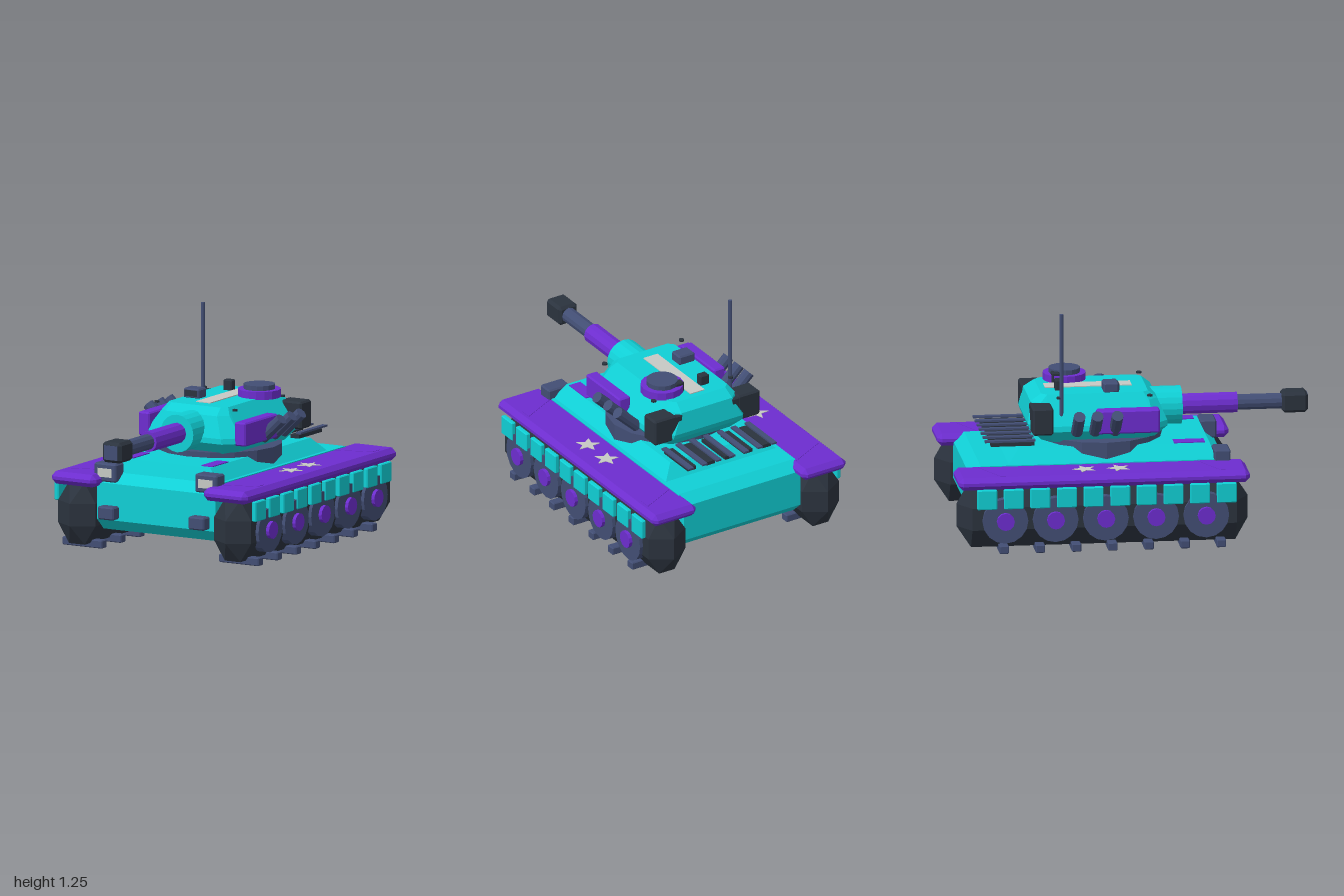
import * as THREE from 'three';
import { ConvexGeometry } from 'three/addons/geometries/ConvexGeometry.js';

const mat = (name, color) => Object.assign(new THREE.MeshStandardMaterial({ color, flatShading: true }), { name });

export function createModel() {
  const root = new THREE.Group();
  root.name = 'tank';
  const teal = mat('teal armour', 0x10cfd5);
  const purple = mat('purple trim', 0x6d2dcf);
  const navy = mat('navy steel', 0x424e74);
  const dark = mat('dark rubber', 0x2b333e);
  const pale = mat('pale paint', 0xc6c9c4);

  const add = (name, geo, material, x = 0, y = 0, z = 0) => {
    const m = new THREE.Mesh(geo, material);
    m.name = name;
    m.position.set(x, y, z);
    root.add(m);
    return m;
  };
  const hull = (pts) => new ConvexGeometry(pts.map((p) => new THREE.Vector3(...p)));
  // box given by its extents, with chamfered edges
  const block = (name, material, [x0, x1], [y0, y1], [z0, z1], b = 0.008) => {
    const w = Math.abs(x1 - x0) / 2, h = (y1 - y0) / 2, d = (z1 - z0) / 2, pts = [];
    for (const i of [-1, 1]) for (const j of [-1, 1]) for (const k of [-1, 1]) {
      pts.push([i * w, j * (h - b), k * (d - b)], [i * (w - b), j * h, k * (d - b)], [i * (w - b), j * (h - b), k * d]);
    }
    return add(name, hull(pts), material, (x0 + x1) / 2, (y0 + y1) / 2, (z0 + z1) / 2);
  };
  const plate = (name, material, w, h, d, x, y, z) => add(name, new THREE.BoxGeometry(w, h, d), material, x, y, z);
  const tube = (name, material, r, length, sides, x, y, z, axis = 'y') => {
    const g = new THREE.CylinderGeometry(r, r, length, sides);
    if (axis === 'x') g.rotateZ(Math.PI / 2);
    if (axis === 'z') g.rotateX(Math.PI / 2);
    return add(name, g, material, x, y, z);
  };
  // flat painted shape lying on a horizontal surface; points are [x, z]
  const decal = (name, material, pts, x, y, z) => {
    const s = new THREE.Shape(pts.map(([px, pz]) => new THREE.Vector2(px, -pz)));
    const g = new THREE.ExtrudeGeometry(s, { depth: 0.004, bevelEnabled: false }).rotateX(-Math.PI / 2);
    return add(name, g, material, x, y, z);
  };

  // lower hull, a side profile drawn across the width
  const lower = [[-0.84, 0.115], [-0.91, 0.18], [-0.91, 0.39], [-0.85, 0.44], [0.45, 0.44], [0.52, 0.385], [0.52, 0.18], [0.45, 0.115]];
  add('lowerHull', hull([-0.38, 0.38].flatMap((x) => lower.map(([z, y]) => [x, y, z]))), teal);

  // sloped upper hull
  add('upperHull', hull([-1, 1].flatMap((s) => [
    [s * 0.375, 0.42, -0.71], [s * 0.375, 0.42, 0.46], [s * 0.29, 0.513, -0.63], [s * 0.29, 0.513, 0.425],
  ])), teal);

  // running gear and fenders
  const star = Array.from({ length: 10 }, (_, i) => {
    const a = (i * Math.PI) / 5, r = i % 2 ? 0.03 : 0.07;
    return [Math.sin(a) * r, -Math.cos(a) * r];
  });
  const trackPts = [];
  for (const k of [-1, 1]) {
    for (const y of [0.14, 0.265]) trackPts.push([0, y, k * 0.805], [0.12, y, k * 0.73], [-0.12, y, k * 0.73]);
    for (const y of [0.03, 0.375]) trackPts.push([0.05, y, k * 0.73], [-0.05, y, k * 0.73]);
  }
  for (const s of [-1, 1]) {
    add('track', hull(trackPts), dark, s * 0.5, 0, -0.195);
    for (let i = 0; i < 7; i++) {
      const z = 0.45 - i * 0.2;
      block('trackCleat', navy, [s * 0.375, s * 0.63], [0.005, 0.05], [z - 0.026, z + 0.026], 0.005);
    }
    for (let i = 0; i < 5; i++) {
      const z = 0.365 - i * 0.2775;
      tube('roadWheel', navy, 0.126, 0.05, 16, s * 0.615, 0.193, z, 'x');
      tube('wheelHub', purple, 0.049, 0.06, 12, s * 0.63, 0.193, z, 'x');
    }
    for (let i = 0; i < 10; i++) {
      const z = 0.477 - i * 0.147;
      block('skirtPlate', teal, [s * 0.62, s * 0.648], [0.262, 0.373], [z - 0.055, z + 0.055], 0.005);
    }
    block('fender', purple, [s * 0.345, s * 0.63], [0.365, 0.435], [-1, 0.61], 0.026);
    for (const z of [-0.29, -0.1]) decal('fenderStar', pale, star, s * 0.487, 0.434, z);
    for (const z of [-0.8, 0.412]) {
      decal('fenderPanel', purple, [[-0.103, 0.033], [-0.103, 0.065], [0.103, 0], [0.103, -0.068]], s * 0.484, 0.433, z);
    }

    // front fittings
    block('towBlock', navy, [s * 0.24, s * 0.343], [0.19, 0.262], [0.5, 0.58]);
    block('headlight', navy, [s * 0.253, s * 0.395], [0.392, 0.494], [0.44, 0.53]);
    plate('headlightLens', pale, 0.09, 0.048, 0.008, s * 0.324, 0.443, 0.53);
    plate('deckPatch', purple, 0.072, 0.008, 0.17, s * 0.253, 0.514, 0.315);

    // turret side fittings
    block('sidePlate', purple, [s * 0.272, s * 0.345], [0.59, 0.722], [-0.2, 0.145]);
    for (const z of [-0.1, -0.21, -0.31]) {
      tube('smokeTube', navy, 0.033, 0.17, 10, s * 0.366, 0.657, z).rotation.z = -s * 0.81;
    }
    block('cornerBox', dark, [s * 0.2, s * 0.343], [0.592, 0.745], [-0.557, -0.443], 0.01);
    block('cornerBoxStrap', dark, [s * 0.16, s * 0.215], [0.6, 0.738], [-0.557, -0.527], 0.006);
    for (const z of [-0.4, 0.1]) tube('rivet', dark, 0.015, 0.01, 8, s * 0.25, 0.78, z);
  }

  // engine grille
  for (let i = -3; i <= 3; i++) plate('grilleSlat', navy, 0.032, 0.01, 0.28, i * 0.09, 0.551, -0.675);
  for (let i = -2; i <= 2; i++) plate('grilleBar', dark, 0.055, 0.02, 0.24, i * 0.122, 0.53, -0.66);

  // turret ring and turret, octagonal sections stacked in height
  tube('turretRing', navy, 0.347, 0.1, 16, 0, 0.493, -0.15);
  const sections = [
    // y, half width, front z, back z, corner cut
    [0.53, 0.245, 0.13, -0.49, 0.06],
    [0.6, 0.305, 0.2, -0.56, 0.08],
    [0.63, 0.3, 0.2, -0.57, 0.08],
    [0.745, 0.215, 0.15, -0.55, 0.05],
    [0.785, 0.188, 0.1, -0.49, 0.03],
  ];
  add('turret', hull(sections.flatMap(([y, w, f, b, c]) => [-1, 1].flatMap((s) => [
    [s * w, y, f - c], [s * (w - c), y, f], [s * w, y, b + c], [s * (w - c), y, b],
  ]))), teal);
  plate('roofStripe', pale, 0.092, 0.008, 0.48, 0, 0.786, -0.215);

  // gun
  tube('mantlet', teal, 0.105, 0.3, 20, 0, 0.657, 0.15, 'z');
  tube('barrelSleeve', purple, 0.058, 0.33, 12, 0, 0.66, 0.445, 'z');
  tube('barrel', navy, 0.044, 0.28, 12, 0, 0.66, 0.73, 'z');
  block('muzzle', dark, [-0.061, 0.061], [0.603, 0.717], [0.855, 0.998], 0.016);
  plate('muzzleBore', navy, 0.085, 0.08, 0.006, 0, 0.66, 0.997);

  // hatch, sights and antenna
  tube('hatchRing', purple, 0.119, 0.045, 16, 0.148, 0.802, -0.325);
  tube('hatchLid', navy, 0.087, 0.03, 16, 0.148, 0.836, -0.325);
  block('sightBox', navy, [-0.182, -0.08], [0.78, 0.837], [-0.147, -0.062]);
  plate('sightWindow', dark, 0.08, 0.034, 0.006, -0.131, 0.811, -0.061);
  for (const x of [-0.081, 0.081]) block('periscope', dark, [x - 0.028, x + 0.028], [0.78, 0.843], [-0.405, -0.36], 0.006);
  tube('antenna', navy, 0.011, 0.575, 8, -0.254, 0.9675, -0.39);
  return root;
}
